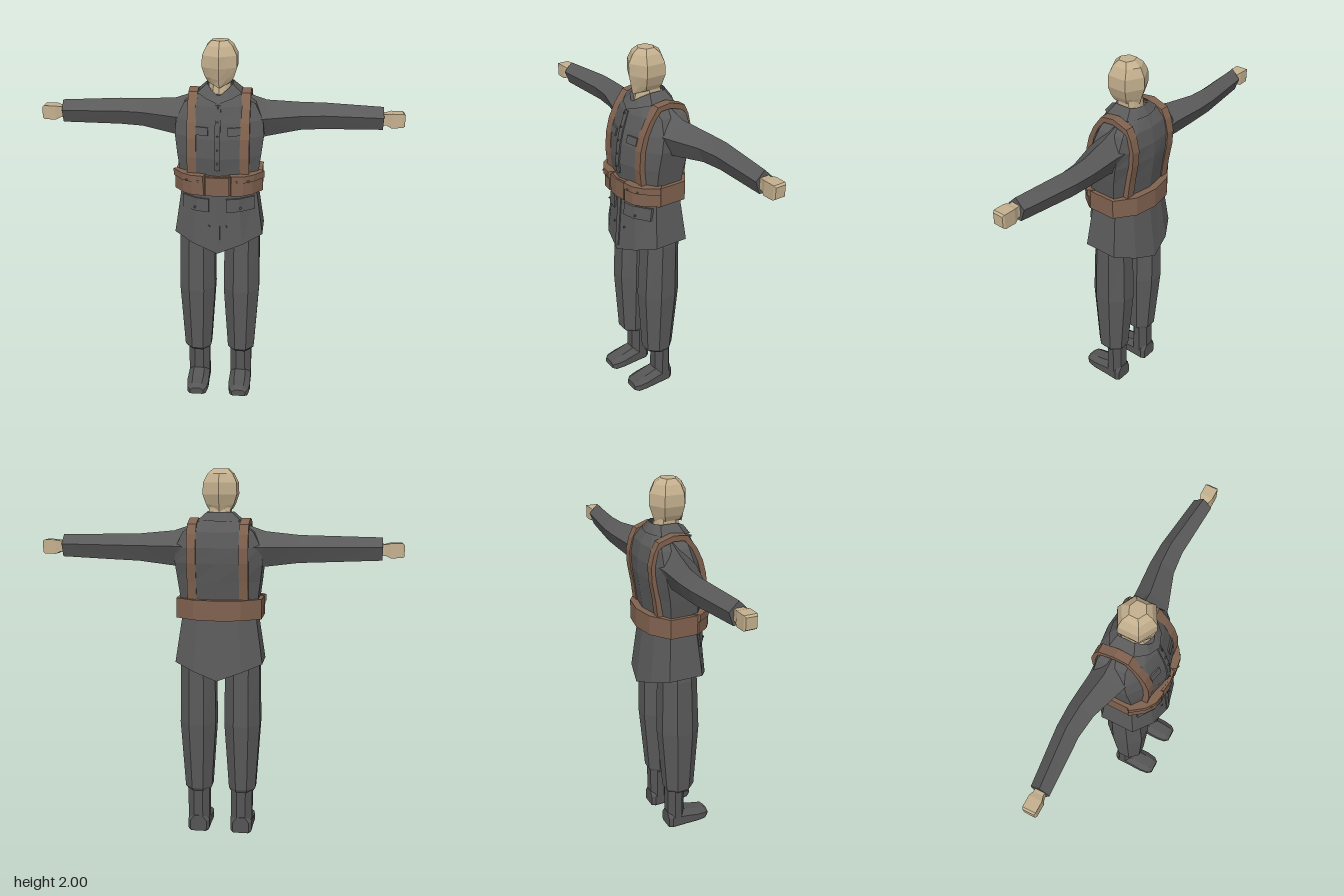
import * as THREE from 'three';

const mat = (name, color) => {
  const m = new THREE.MeshStandardMaterial({ color, flatShading: true, side: THREE.DoubleSide });
  m.name = name;
  return m;
};
const lerp = THREE.MathUtils.lerp;

// Flat-shaded skin over equal-length rings of points, closed by end caps, facing outwards
function loft(rings, caps = true) {
  const tris = [], n = rings[0].length;
  for (let i = 0; i < rings.length - 1; i++) {
    for (let j = 0; j < n; j++) {
      const k = (j + 1) % n, a = rings[i], b = rings[i + 1];
      tris.push([a[j], a[k], b[k]], [a[j], b[k], b[j]]);
    }
  }
  const mean = (r) => [0, 1, 2].map((c) => r.reduce((s, p) => s + p[c], 0) / n);
  const first = rings[0], last = rings[rings.length - 1];
  const c0 = mean(first), c1 = mean(last);
  const capTris = [];
  for (let j = 0; j < n; j++) {
    const k = (j + 1) % n;
    capTris.push([c0, first[k], first[j]], [c1, last[j], last[k]]);
  }
  const V = (p) => new THREE.Vector3(...p);
  const volume = [...tris, ...capTris].reduce((s, [a, b, c]) => s + V(a).dot(V(b).cross(V(c))), 0);
  const all = caps ? [...tris, ...capTris] : tris;
  const out = all.map(([a, b, c]) => (volume < 0 ? [a, c, b] : [a, b, c])).flat(2);
  const g = new THREE.BufferGeometry();
  g.setAttribute('position', new THREE.Float32BufferAttribute(out, 3));
  g.computeVertexNormals();
  return g;
}

// Body cross-section with a centre ridge front and back.
// row: [y, front z, half width, side front z, side back z, back z, side rise]
function bodyRing([y, zf, xs, zsf, zsb, zb, rise = 0], bulge = 0.3, m = 0.55) {
  const right = [
    [0, y, zf], [xs * m, y + rise * m, lerp(zf, zsf, bulge)], [xs, y + rise, zsf],
    [xs, y + rise, zsb], [xs * m, y + rise * m, lerp(zb, zsb, bulge)], [0, y, zb],
  ];
  return [...right, ...right.slice(1, 5).reverse().map(([x, h, z]) => [-x, h, z])];
}

const JACKET = [
  [0.90, 0.19, 0.235, 0.09, -0.10, -0.19, 0.08],
  [1.22, 0.165, 0.20, 0.07, -0.08, -0.15],
  [1.33, 0.165, 0.208, 0.07, -0.08, -0.148],
  [1.42, 0.175, 0.22, 0.07, -0.09, -0.16],
  [1.52, 0.165, 0.232, 0.06, -0.11, -0.172],
  [1.60, 0.145, 0.225, 0.045, -0.125, -0.172],
  [1.68, 0.12, 0.185, 0.03, -0.12, -0.155],
  [1.735, 0.085, 0.10, 0.04, -0.09, -0.12],
];

// Depth of the jacket surface at x, y
function jacketZ(x, y, back = false) {
  let i = 0;
  while (i < JACKET.length - 2 && y > JACKET[i + 1][0]) i++;
  const a = JACKET[i], b = JACKET[i + 1], t = (y - a[0]) / (b[0] - a[0]);
  const r = a.slice(0, 6).map((v, j) => lerp(v, b[j], t));
  const c = back ? r[5] : r[1], s = back ? r[4] : r[3], u = Math.min(Math.abs(x) / r[2], 1);
  return u < 0.55 ? lerp(c, s, (0.3 * u) / 0.55) : lerp(c, s, 0.3 + (0.7 * (u - 0.55)) / 0.45);
}

// Thin panel lying on the jacket front
const frontPanel = (xs, y0, y1, lift) => loft(xs.map((x) => [
  [x, y0, jacketZ(x, y0) + lift], [x, y1, jacketZ(x, y1) + lift],
  [x, y1, jacketZ(x, y1) - 0.01], [x, y0, jacketZ(x, y0) - 0.01],
]));

const octagon = (y, cx, rx, cz, rz) => Array.from({ length: 8 }, (_, i) => {
  const a = ((i + 0.5) * Math.PI) / 4, k = 1 / Math.cos(Math.PI / 8);
  return [cx + Math.cos(a) * rx * k, y, cz + Math.sin(a) * rz * k];
});

export function createModel() {
  const root = new THREE.Group();
  const cloth = mat('grey cloth', 0x5a5a5a);
  const bootMat = mat('grey boot leather', 0x555555);
  const leather = mat('brown leather', 0x80624f);
  const skin = mat('skin', 0xc4b08e);
  const add = (name, geometry, material) => {
    const mesh = new THREE.Mesh(geometry, material);
    mesh.name = name;
    root.add(mesh);
    return mesh;
  };
  const stud = (name, x, y, z, material) => {
    const mesh = add(name, new THREE.CylinderGeometry(0.006, 0.006, 0.008, 6), material);
    mesh.rotation.x = Math.PI / 2;
    mesh.position.set(x, y, z);
  };

  // Head and neck
  add('head', loft([
    [1.768, 0.078, 0.06, 0.035, -0.04, -0.07, 0.025],
    [1.81, 0.087, 0.074, 0.045, -0.05, -0.085, 0.01],
    [1.87, 0.1, 0.09, 0.052, -0.058, -0.105],
    [1.93, 0.1, 0.088, 0.05, -0.056, -0.102],
    [1.975, 0.076, 0.066, 0.04, -0.044, -0.08],
    [2.0, 0.045, 0.04, 0.023, -0.023, -0.04],
  ].map((r) => bodyRing(r, 0.55))), skin);
  add('neck', loft([
    [1.70, 0.075, 0.06, 0.02, -0.06, -0.085],
    [1.81, 0.05, 0.055, 0.015, -0.05, -0.07],
  ].map((r) => bodyRing(r))), skin);

  // Jacket, collar, placket and buttons
  add('jacket', loft(JACKET.map((r) => bodyRing(r))), cloth);
  add('collar', loft([
    [1.695, 0.118, 0.115, 0.04, -0.09, -0.13, 0.04],
    [1.728, 0.09, 0.066, 0.02, -0.07, -0.1, 0.052],
  ].map((r) => {
    const ring = bodyRing(r);
    ring[4][1] = ring[5][1] = ring[6][1] = r[0] + r[6];
    return ring;
  }), false), cloth);
  [[1.36, 1.42], [1.42, 1.52], [1.52, 1.6], [1.6, 1.69]].forEach(([a, b]) =>
    add('placket', frontPanel([-0.014, 0, 0.014], a, b, 0.008), cloth));
  add('lowerPlacket', frontPanel([-0.014, 0, 0.014], 0.93, 1.22, 0.006), cloth);
  for (const y of [1.4, 1.47, 1.54, 1.61, 1.68]) stud('button', 0, y, jacketZ(0, y) + 0.01, cloth);

  // Belt and buckle
  add('belt', loft([1.222, 1.328].map((y) =>
    bodyRing([y, 0.18, 0.228, 0.07, -0.09, -0.185], 0.22))), leather);
  add('buckle', loft([-0.062, 0, 0.062].map((x) => {
    const z = 0.188 - Math.abs(x) * 0.12;
    return [[x, 1.225, z], [x, 1.325, z], [x, 1.325, z - 0.03], [x, 1.225, z - 0.03]];
  })), leather);

  for (const s of [1, -1]) {
    // Sleeve: rows of x, then y of top, middle, bottom, then z of front, ridge, back
    const sleeve = [
      [0.13, 1.72, 1.6, 1.46, 0.07, -0.05, -0.14],
      [0.24, 1.682, 1.605, 1.5, 0.045, -0.055, -0.135],
      [0.42, 1.666, 1.607, 1.525, -0.015, -0.085, -0.147],
      [0.54, 1.664, 1.608, 1.53, -0.028, -0.09, -0.145],
      [0.845, 1.656, 1.608, 1.54, -0.012, -0.06, -0.11],
    ].map(([x, t, m, b, f, r, k]) => [
      [s * x, t, r], [s * x, m, f], [s * x, b, lerp(f, k, 0.27)], [s * x, b, lerp(f, k, 0.75)], [s * x, m, k],
    ]);
    add('sleeve', loft(sleeve), cloth);

    // Hand with a slimmer wrist
    add('hand', loft([
      [0.82, 1.565, 1.622, -0.085, -0.035], [0.86, 1.565, 1.622, -0.085, -0.035],
      [0.885, 1.553, 1.628, -0.093, -0.026], [0.945, 1.555, 1.628, -0.093, -0.026],
      [0.955, 1.562, 1.62, -0.088, -0.031],
    ].map(([x, a, b, c, d]) => [[s * x, a, c], [s * x, a, d], [s * x, b, d], [s * x, b, c]])), skin);

    // Trouser leg
    add('trouserLeg', loft([
      [1.06, 0.115, 0.085, -0.005, 0.095], [0.95, 0.122, 0.094, -0.005, 0.1],
      [0.63, 0.122, 0.098, 0, 0.11], [0.255, 0.122, 0.074, 0.005, 0.083], [0.237, 0.12, 0.064, 0.003, 0.07],
    ].map(([y, cx, rx, cz, rz]) => octagon(y, s * cx, rx, cz, rz))), cloth);

    // Boot shaft and foot
    add('bootShaft', loft([0.25, 0.05].map((y) => octagon(y, s * 0.12, 0.06, -0.018, 0.05))), bootMat);
    add('bootFoot', loft([
      [-0.07, 0.045, 0, 0.09], [-0.05, 0.06, 0, 0.1], [0.035, 0.06, 0, 0.09],
      [0.11, 0.062, 0, 0.072], [0.16, 0.055, 0, 0.064], [0.182, 0.038, 0.008, 0.045],
    ].map(([z, w, a, b]) => [
      [-w, a + 0.012, z], [-w * 0.9, a, z], [w * 0.9, a, z], [w, a + 0.012, z],
      [w, lerp(a, b, 0.65), z], [w * 0.5, b, z], [-w * 0.5, b, z], [-w, lerp(a, b, 0.65), z],
    ].map(([x, y, q]) => [s * 0.12 + x, y, q]))), bootMat);

    // Shoulder strap, running from the belt over the shoulder and down the back
    const x = 0.137, levels = [1.3, 1.42, 1.52, 1.6, 1.67];
    const path = [
      ...levels.map((y) => [y, jacketZ(x, y) + 0.014, 0, 1]),
      [1.738, 0.035, 0.8, 0.6], [1.748, -0.04, 1, 0], [1.72, -0.125, 0.7, -0.7],
      ...levels.reverse().map((y) => [y, jacketZ(x, y, true) - 0.014, 0, -1]),
    ];
    add('shoulderStrap', loft(path.map(([y, z, ny, nz]) => {
      const a = s * (x - 0.024), b = s * (x + 0.024);
      return [[a, y, z], [b, y, z], [b, y - ny * 0.03, z - nz * 0.03], [a, y - ny * 0.03, z - nz * 0.03]];
    })), leather);

    // Belt pouch with an overhanging flap
    const wrap = (y0, y1, out) => loft([[0.07, 0.178], [0.13, 0.168], [0.178, 0.134], [0.228, 0.062]].map(([px, pz]) => {
      const ox = s * (px + out * px * 4.4), oz = pz + out * 0.8;
      return [[ox, y0, oz], [ox, y1, oz], [s * px * 0.85, y1, pz - 0.03], [s * px * 0.85, y0, pz - 0.03]];
    }));
    add('beltPouch', wrap(1.226, 1.31, 0.005), leather);
    add('pouchFlap', wrap(1.298, 1.334, 0.012), leather);
    stud('pouchStud', s * 0.1, 1.305, 0.185, leather);
    stud('pouchStud', s * 0.16, 1.305, 0.162, leather);

    // Hip pocket flap and chest pocket flap with their buttons
    add('hipPocketFlap', frontPanel([0.045, 0.112, 0.19].map((v) => v * s), 1.13, 1.2, 0.012), cloth);
    stud('pocketButton', s * 0.12, 1.15, jacketZ(0.12, 1.15) + 0.014, cloth);
    stud('skirtButton', s * 0.045, 1.05, jacketZ(0.045, 1.05) + 0.003, cloth);
    add('chestPocketFlap', frontPanel([0.05, 0.09, 0.115].map((v) => v * s), 1.54, 1.58, 0.008), cloth);
  }
  return root;
}
